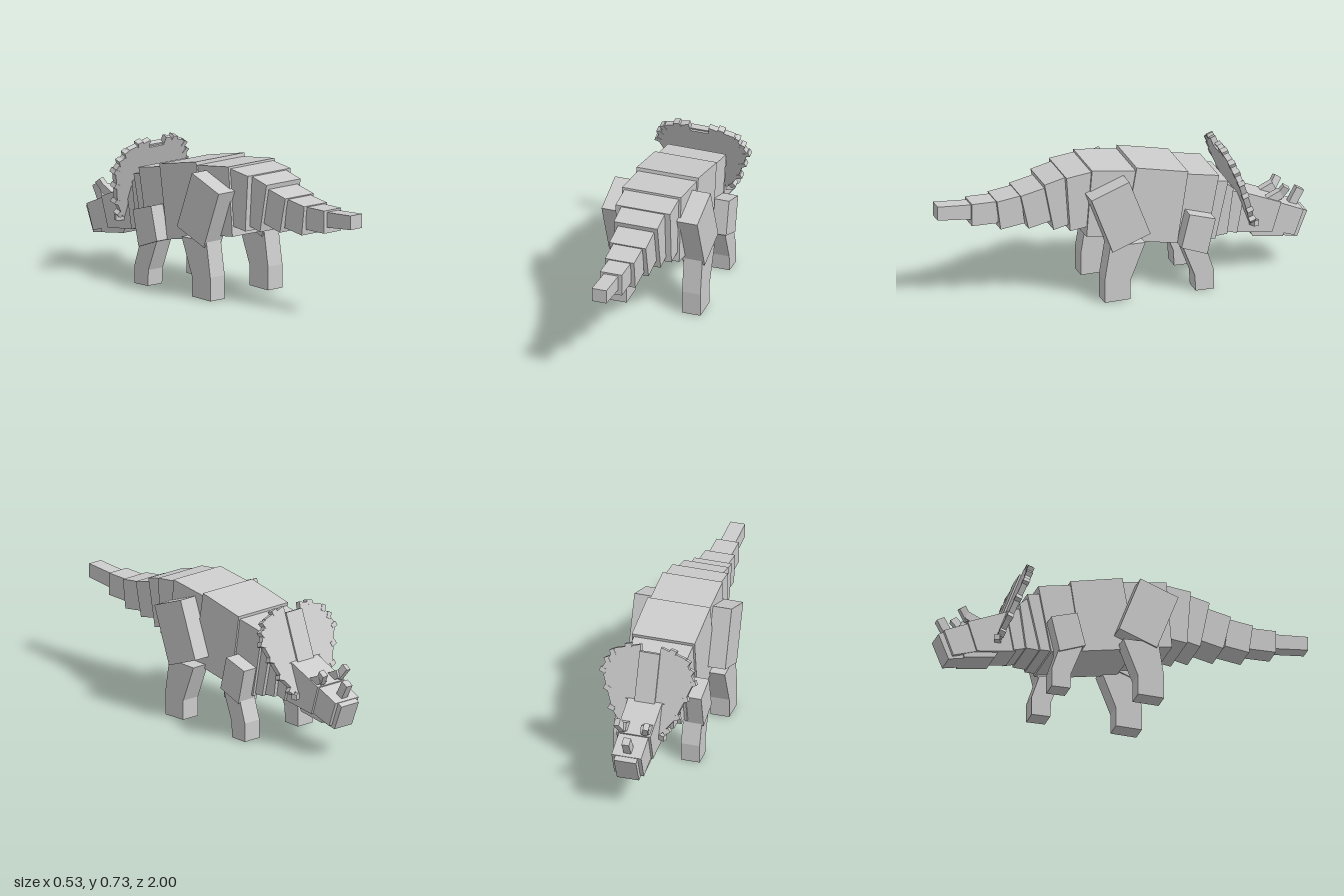
import * as THREE from 'three';

const mat = new THREE.MeshStandardMaterial({ color: 0xcccccc, flatShading: true });

// Straight-sided block: side outline as [z, y] points, spanning x0..x1
function block(parent, name, pts, x0, x1) {
  const shape = new THREE.Shape(pts.map(([z, y]) => new THREE.Vector2(z, y)));
  const geo = new THREE.ExtrudeGeometry(shape, { depth: x1 - x0, bevelEnabled: false });
  geo.rotateY(-Math.PI / 2);
  geo.translate(x1, 0, 0);
  const mesh = new THREE.Mesh(geo, mat);
  mesh.name = name;
  parent.add(mesh);
  return mesh;
}

// The same block on the left and the right
function pair(parent, name, pts, x0, x1) {
  block(parent, name + 'Left', pts, x0, x1);
  block(parent, name + 'Right', pts, -x1, -x0);
}

function box(parent, name, size, pos, rot = [0, 0, 0]) {
  const mesh = new THREE.Mesh(new THREE.BoxGeometry(...size), mat);
  mesh.name = name;
  mesh.position.set(...pos);
  mesh.rotation.set(...rot);
  parent.add(mesh);
}

export function createModel() {
  const model = new THREE.Group();
  model.name = 'hornedDinosaur';

  // Trunk, tail and head: name, half width, side outline
  const segments = [
    ['tailTip', 0.04, [[1, 0.555], [0.81, 0.545], [0.82, 0.465], [1, 0.48]]],
    ['tail', 0.06, [[0.82, 0.555], [0.68, 0.555], [0.68, 0.435], [0.82, 0.435]]],
    ['tail', 0.08, [[0.69, 0.56], [0.56, 0.58], [0.54, 0.425], [0.67, 0.405]]],
    ['tail', 0.1, [[0.567, 0.585], [0.44, 0.615], [0.40, 0.43], [0.525, 0.4]]],
    ['tail', 0.12, [[0.445, 0.64], [0.33, 0.67], [0.27, 0.415], [0.395, 0.385]]],
    ['tailBase', 0.15, [[0.335, 0.675], [0.19, 0.695], [0.17, 0.4], [0.315, 0.38]]],
    ['hips', 0.162, [[0.2, 0.705], [-0.05, 0.675], [-0.05, 0.31], [0.23, 0.34]]],
    ['belly', 0.17, [[-0.04, 0.695], [-0.32, 0.64], [-0.26, 0.25], [0.03, 0.3]]],
    ['shoulders', 0.16, [[-0.31, 0.625], [-0.49, 0.595], [-0.42, 0.23], [-0.25, 0.255]]],
    ['neck', 0.145, [[-0.47, 0.56], [-0.545, 0.55], [-0.475, 0.24], [-0.41, 0.24]]],
    ['neck', 0.125, [[-0.53, 0.54], [-0.58, 0.5], [-0.545, 0.25], [-0.47, 0.245]]],
    ['neck', 0.105, [[-0.57, 0.48], [-0.645, 0.455], [-0.605, 0.24], [-0.53, 0.26]]],
    ['head', 0.092, [[-0.61, 0.47], [-0.85, 0.375], [-0.8, 0.215], [-0.59, 0.24]]],
    ['snout', 0.08, [[-0.82, 0.38], [-0.975, 0.315], [-0.925, 0.18], [-0.79, 0.22]]],
    ['jaw', 0.075, [[-0.66, 0.27], [-0.87, 0.24], [-0.865, 0.178], [-0.7, 0.2]]],
    ['beak', 0.06, [[-0.95, 0.325], [-1, 0.298], [-0.945, 0.163], [-0.855, 0.18]]],
  ];
  for (const [name, w, pts] of segments) block(model, name, pts, -w, w);

  // Hind legs
  pair(model, 'hindThigh', [[0.235, 0.58], [0.03, 0.66], [-0.085, 0.36], [0.12, 0.28]], 0.143, 0.263);
  pair(model, 'hindShin', [[0.13, 0.31], [-0.06, 0.31], [0.02, 0.11], [0.16, 0.125]], 0.152, 0.253);
  pair(model, 'hindFoot', [[0.16, 0.125], [0.02, 0.11], [0.02, 0.005], [0.16, 0]], 0.152, 0.253);

  // Front legs
  pair(model, 'frontThigh', [[-0.305, 0.43], [-0.445, 0.39], [-0.4, 0.2], [-0.26, 0.25]], 0.142, 0.243);
  pair(model, 'frontShin', [[-0.27, 0.25], [-0.4, 0.22], [-0.44, 0.1], [-0.335, 0.085]], 0.132, 0.233);
  pair(model, 'frontFoot', [[-0.335, 0.085], [-0.44, 0.1], [-0.44, 0], [-0.34, 0]], 0.132, 0.233);

  // Frill leaning back over the neck, in its own tilted frame
  const frill = new THREE.Group();
  frill.name = 'frill';
  frill.position.set(0, 0.275, -0.71);
  frill.rotation.x = 0.36;
  model.add(frill);
  const half = [[0.05, 0.44], [0.055, 0.485], [0.19, 0.445], [0.25, 0.33], [0.17, 0.12], [0.1, 0.03]];
  const outline = [...half, ...half.map(([x, y]) => [-x, y]).reverse()];
  const plate = new THREE.Mesh(new THREE.ExtrudeGeometry(
    new THREE.Shape(outline.map(([x, y]) => new THREE.Vector2(x, y))),
    { depth: 0.03, bevelEnabled: false }), mat);
  plate.name = 'frillPlate';
  frill.add(plate);
  box(frill, 'frillCentre', [0.11, 0.38, 0.03], [0, 0.26, 0.005]);

  for (const s of [1, -1]) {
    // Studs along the frill edge: x, y, turn
    for (const [x, y, r] of [[0.12, 0.468, -1.87], [0.2, 0.42, -0.5], [0.225, 0.375, -0.5],
      [0.242, 0.32, -1.2], [0.21, 0.23, -1.2], [0.175, 0.13, -1.2], [0.13, 0.05, -0.9]]) {
      box(frill, 'frillStud', [0.025, 0.035, 0.035], [s * x, y, 0.015], [0, 0, s * r]);
    }
    // Brow horns in two pieces, and a cheek spike
    box(model, 'browHornBase', [0.045, 0.045, 0.075], [s * 0.062, 0.4, -0.82], [0.45, 0, 0]);
    box(model, 'browHornTip', [0.03, 0.075, 0.04], [s * 0.07, 0.425, -0.86], [-0.6, 0, -s * 0.25]);
    box(model, 'cheekSpike', [0.05, 0.03, 0.03], [s * 0.105, 0.29, -0.695], [0, s * 0.4, 0]);
  }
  box(model, 'noseHorn', [0.04, 0.11, 0.045], [0, 0.36, -0.95], [-0.5, 0, 0]);

  return model;
}
